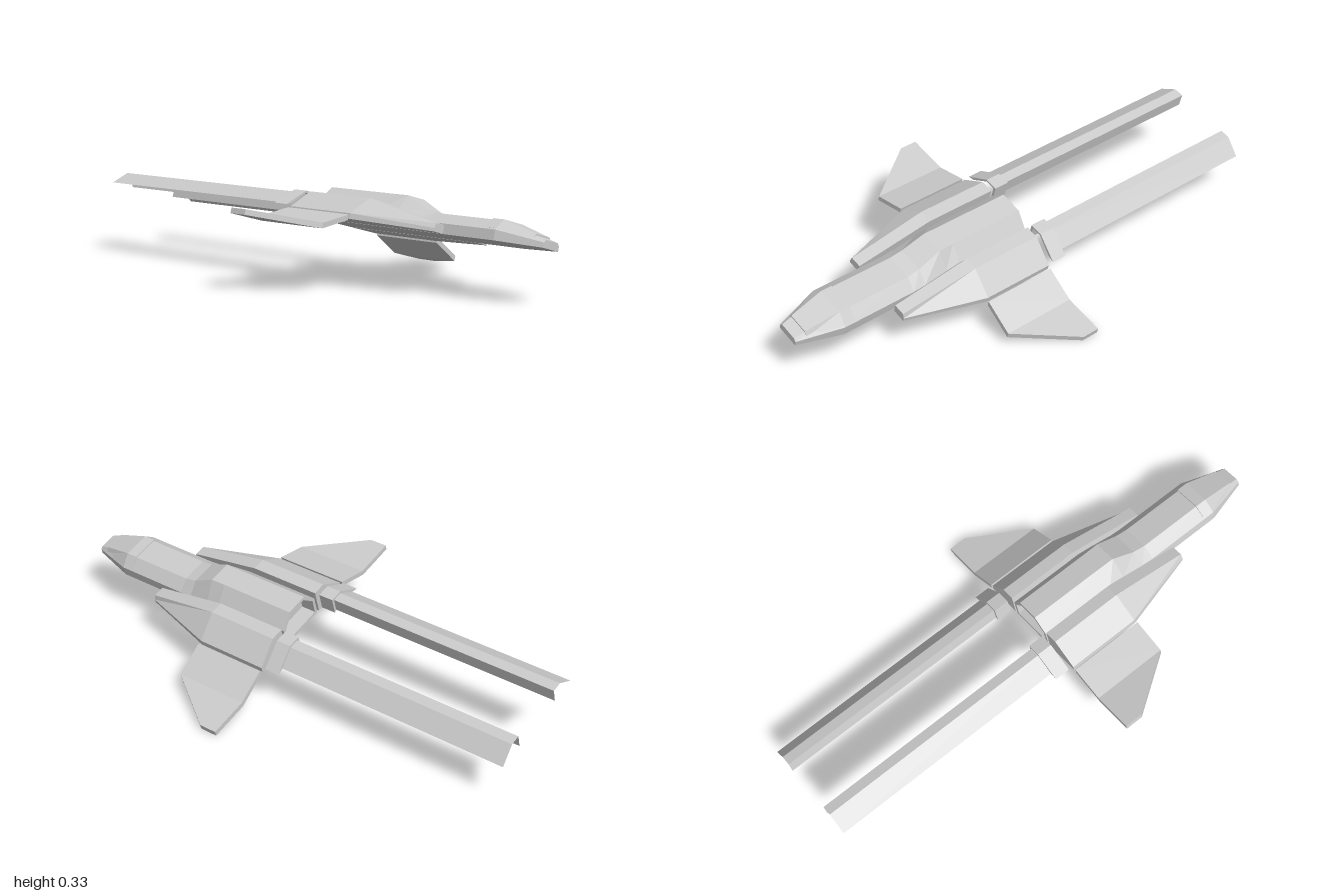
import * as THREE from 'three';

const material = new THREE.MeshStandardMaterial({ color: 0xcccccc, flatShading: true });
const sheet = new THREE.MeshStandardMaterial({ color: 0xcccccc, flatShading: true, side: THREE.DoubleSide });

// Skin a series of convex rings of [x, y, z] points and cap both ends.
function loft(name, rings, side = 1) {
  const sections = rings.map((ring) => {
    const points = ring.map(([x, y, z]) => [x * side, y, z]);
    return side < 0 ? points.reverse() : points;
  });
  const position = [];
  const tri = (...corners) => corners.forEach((p) => position.push(...p));
  const count = sections[0].length;
  for (let i = 0; i < sections.length - 1; i++) {
    for (let j = 0; j < count; j++) {
      const k = (j + 1) % count;
      const a = sections[i], b = sections[i + 1];
      tri(a[j], b[j], b[k]);
      tri(a[j], b[k], a[k]);
    }
  }
  const front = sections[0], back = sections[sections.length - 1];
  for (let j = 1; j < count - 1; j++) {
    tri(front[0], front[j], front[j + 1]);
    tri(back[0], back[j + 1], back[j]);
  }
  const geometry = new THREE.BufferGeometry();
  geometry.setAttribute('position', new THREE.Float32BufferAttribute(position, 3));
  geometry.computeVertexNormals();
  const mesh = new THREE.Mesh(geometry, material);
  mesh.name = name;
  return mesh;
}

// Six-sided fuselage section with a flat belly.
const hullRing = (z, width, shoulder, topWidth, top, base = 0) => [
  [-width, base, z], [width, base, z], [width, shoulder, z],
  [topWidth, top, z], [-topWidth, top, z], [-width, shoulder, z],
];

const canopyRing = (z, width, low, topWidth, top) => [
  [-width, low, z], [width, low, z], [topWidth, top, z], [-topWidth, top, z],
];

// Side pod section, upright on its inner face and sloping outward.
const podRing = (z, outer, edge, ridge, top) => [
  [0.105, 0, z], [outer, 0, z], [outer, edge, z], [ridge, top, z], [0.105, top, z],
];

const wingRing = (x, top, lead) => [
  [x, top - 0.02, lead], [x, top - 0.02, 0.02], [x, top, 0.02], [x, top, lead],
];

const boomProfile = [[0.115, 0.033], [0.115, 0.084], [0.155, 0.084], [0.22, 0.033]];
const collarProfile = [[0.247, 0.026], [0.157, 0.092], [0.105, 0.092], [0.105, 0.026]];

// Open folded channel trailing behind the pod.
function boom(name, side) {
  const position = [];
  for (let i = 0; i < 3; i++) {
    const [x0, y0] = boomProfile[i], [x1, y1] = boomProfile[i + 1];
    const a = [x0 * side, y0, 0], b = [x1 * side, y1, 0];
    const c = [x1 * side, y1, -1], d = [x0 * side, y0, -1];
    position.push(...(side > 0 ? [a, b, c, a, c, d] : [a, c, b, a, d, c]).flat());
  }
  const geometry = new THREE.BufferGeometry();
  geometry.setAttribute('position', new THREE.Float32BufferAttribute(position, 3));
  geometry.computeVertexNormals();
  const mesh = new THREE.Mesh(geometry, sheet);
  mesh.name = name;
  return mesh;
}

// Thick arched bracket around the root of a boom.
function collar(name, side) {
  const outline = [...boomProfile, ...collarProfile].map(([x, y]) => new THREE.Vector2(x * side, y));
  const geometry = new THREE.ExtrudeGeometry(new THREE.Shape(outline), { depth: 0.06, bevelEnabled: false });
  const mesh = new THREE.Mesh(geometry, material);
  mesh.position.z = -0.06;
  mesh.name = name;
  return mesh;
}

export function createModel() {
  const model = new THREE.Group();
  model.name = 'spacecraft';

  // The whole craft banks toward its left side.
  const craft = new THREE.Group();
  craft.name = 'bankedCraft';
  craft.rotation.z = THREE.MathUtils.degToRad(-15.3);
  craft.position.set(0.013, 0.198, 0);
  model.add(craft);

  // Fuselage, ending in a recessed rear opening.
  craft.add(loft('fuselage', [
    hullRing(1.0, 0.045, 0.018, 0.035, 0.028),
    hullRing(0.83, 0.095, 0.037, 0.052, 0.075),
    hullRing(0.53, 0.095, 0.037, 0.052, 0.075),
    hullRing(0.48, 0.095, 0.042, 0.051, 0.085),
    hullRing(0.39, 0.095, 0.062, 0.046, 0.127),
    hullRing(0.33, 0.095, 0.073, 0.045, 0.127),
    hullRing(0.02, 0.095, 0.073, 0.045, 0.127),
    hullRing(0.02, 0.083, 0.069, 0.039, 0.115, 0.012),
    hullRing(0.08, 0.083, 0.069, 0.039, 0.115, 0.012),
  ]));
  craft.add(loft('canopy', [
    canopyRing(0.96, 0.053, 0.024, 0.04, 0.044),
    canopyRing(0.83, 0.091, 0.043, 0.054, 0.079),
    canopyRing(0.785, 0.091, 0.043, 0.054, 0.079),
  ]));

  for (const [label, side] of [['left', 1], ['right', -1]]) {
    craft.add(loft(label + 'Pod', [
      podRing(0.62, 0.157, 0.012, 0.15, 0.03),
      podRing(0.31, 0.247, 0.02, 0.157, 0.091),
      podRing(0.02, 0.247, 0.02, 0.157, 0.091),
    ], side));
    // Wing drops from the root, then runs level to a clipped tip.
    craft.add(loft(label + 'Wing', [
      wingRing(0.54, -0.036, 0.09),
      wingRing(0.382, -0.036, 0.315),
      wingRing(0.258, 0.014, 0.315),
    ], side));
    craft.add(collar(label + 'Collar', side));
    craft.add(boom(label + 'Boom', side));
  }
  return model;
}
